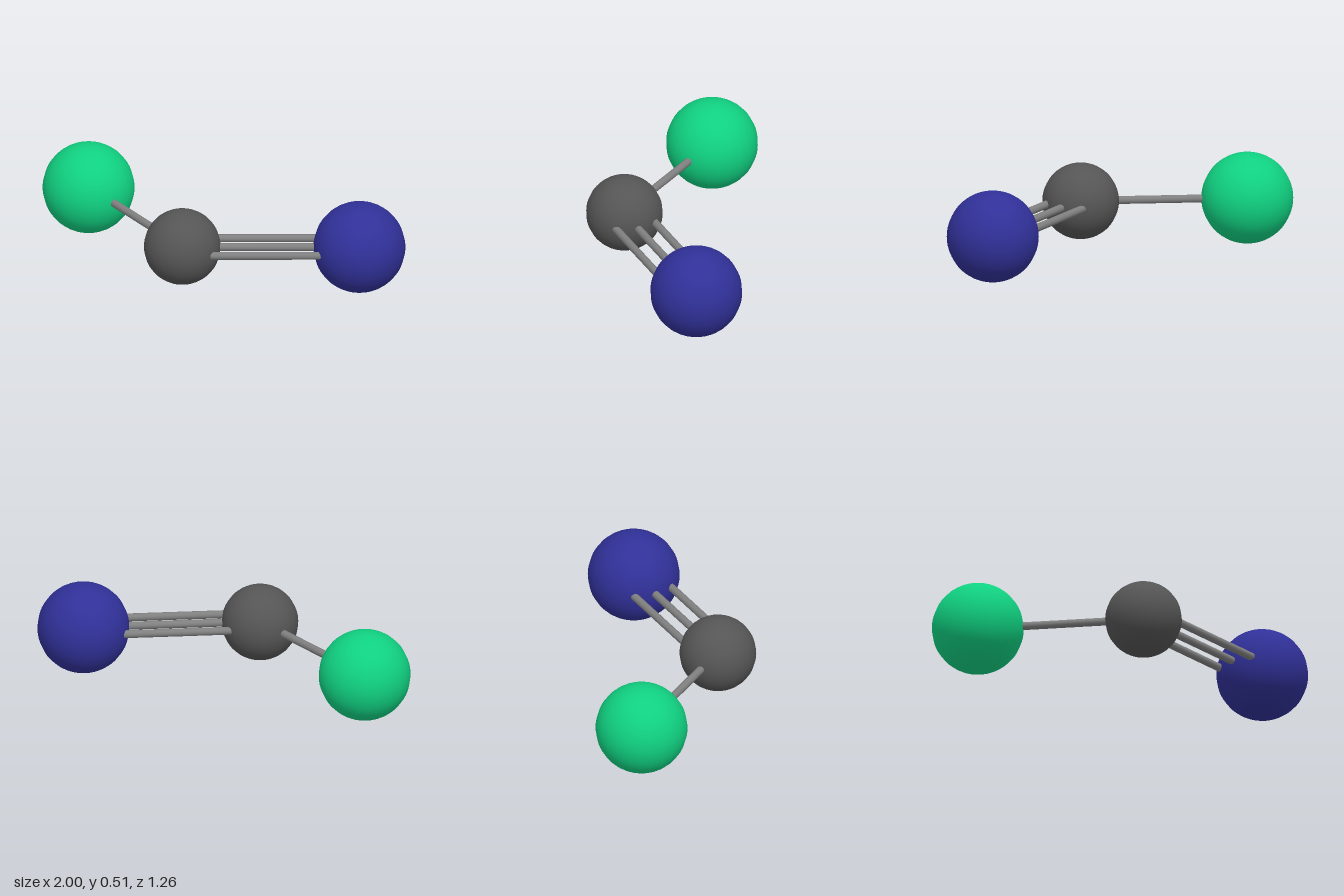
import * as THREE from 'three';

const Y = 0.255;

export function createModel() {
  const model = new THREE.Group();
  const paint = (color) => new THREE.MeshStandardMaterial({ color });

  // Ball at a position in the horizontal plane
  function ball(name, x, z, radius, color) {
    const mesh = new THREE.Mesh(new THREE.SphereGeometry(radius, 24, 32), paint(color));
    mesh.name = name;
    mesh.position.set(x, Y, z);
    model.add(mesh);
    return mesh.position;
  }

  // Round rod between two points
  const rodPaint = paint(0x808080);
  function rod(name, from, to) {
    const dir = to.clone().sub(from);
    const mesh = new THREE.Mesh(new THREE.CylinderGeometry(0.022, 0.022, dir.length(), 12), rodPaint);
    mesh.name = name;
    mesh.position.copy(from).add(to).multiplyScalar(0.5);
    mesh.quaternion.setFromUnitVectors(new THREE.Vector3(0, 1, 0), dir.normalize());
    model.add(mesh);
  }

  // Three atoms
  const green = ball('greenAtom', -0.747, -0.38, 0.253, 0x10d080);
  const grey = ball('greyAtom', -0.227, 0.378, 0.211, 0x555555);
  const blue = ball('blueAtom', 0.747, 0.378, 0.253, 0x303098);

  // Single bond
  rod('singleBond', grey, green);

  // Triple bond: three side-by-side rods, very slightly skewed
  for (const [i, offset] of [-0.113, 0, 0.113].entries()) {
    rod(`tripleBond${i + 1}`,
      grey.clone().add(new THREE.Vector3(0, 0, offset + 0.008)),
      blue.clone().add(new THREE.Vector3(0, 0, offset)));
  }
  return model;
}
